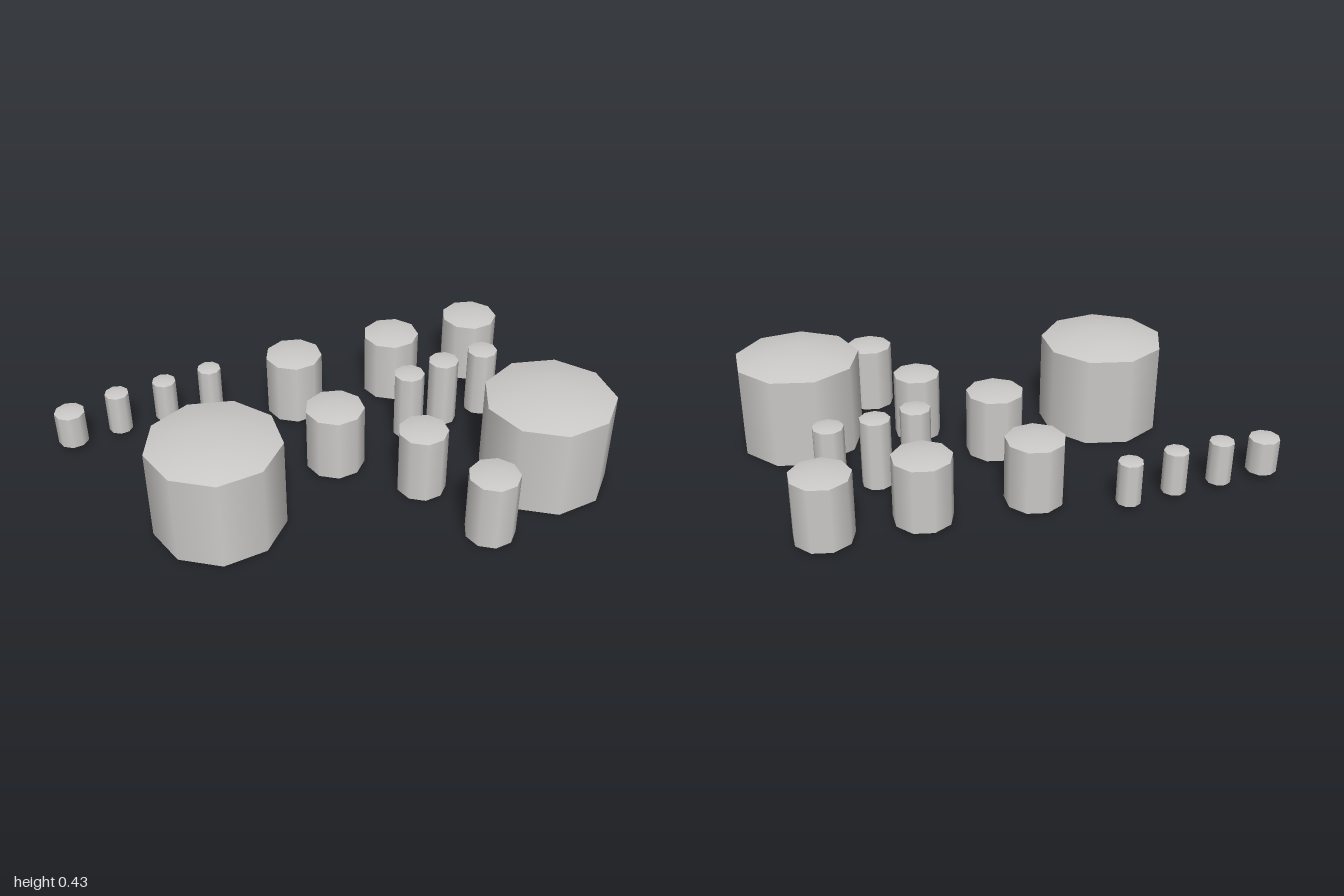
import * as THREE from 'three';
import { mergeGeometries } from 'three/addons/utils/BufferGeometryUtils.js';

const SIDES = 9;
const TURN = THREE.MathUtils.degToRad(6);

// Revolve a short profile; separate bands keep the rims sharp
function band(points) {
  return new THREE.LatheGeometry(points.map(([r, y]) => new THREE.Vector2(r, y)), SIDES, TURN);
}

// Nine-sided post with a flat base, smooth wall and shallow domed cap
function postGeometry(r, bottom, rim, top) {
  const rise = top - rim;
  return mergeGeometries([
    band([[0, bottom], [r, bottom]]),
    band([[r, bottom], [r, rim]]),
    band([[r, rim], [r * 0.75, rim + rise * 0.5], [r * 0.45, rim + rise * 0.87], [r * 0.2, top], [0, top]]),
  ]);
}

// Each family of posts shares one size and is placed at [x, z]
const FAMILIES = [
  { name: 'largePost', size: [0.266, 0, 0.39, 0.425], at: [[-0.12, 0.67], [0.733, -0.359]] },
  { name: 'mediumPost', size: [0.122, 0.015, 0.29, 0.303], at: [[0.06, -0.82], [-0.13, -0.475], [-0.363, -0.08], [0.02, 0.115]] },
  { name: 'smallPost', size: [0.101, 0.004, 0.288, 0.299], at: [[0.388, 0.015], [0.757, 0.078]] },
  { name: 'tallThinPost', size: [0.064, 0.012, 0.31, 0.317], at: [[0.28, -0.585], [0.193, -0.415], [0.135, -0.245]] },
  { name: 'tinyPost', size: [0.051, 0.028, 0.209, 0.215], at: [[-0.667, 0.14], [-0.753, 0.33], [-0.847, 0.517]] },
  { name: 'shortPost', size: [0.064, 0.034, 0.18, 0.188], at: [[-0.936, 0.705]] },
];

export function createModel() {
  const model = new THREE.Group();
  model.name = 'postCluster';
  const stone = new THREE.MeshStandardMaterial({ color: 0xcccac8 });
  stone.name = 'paleGrey';

  for (const { name, size, at } of FAMILIES) {
    const geometry = postGeometry(...size);
    at.forEach(([x, z], i) => {
      const post = new THREE.Mesh(geometry, stone);
      post.name = `${name}${i + 1}`;
      post.position.set(x, 0, z);
      model.add(post);
    });
  }
  return model;
}
